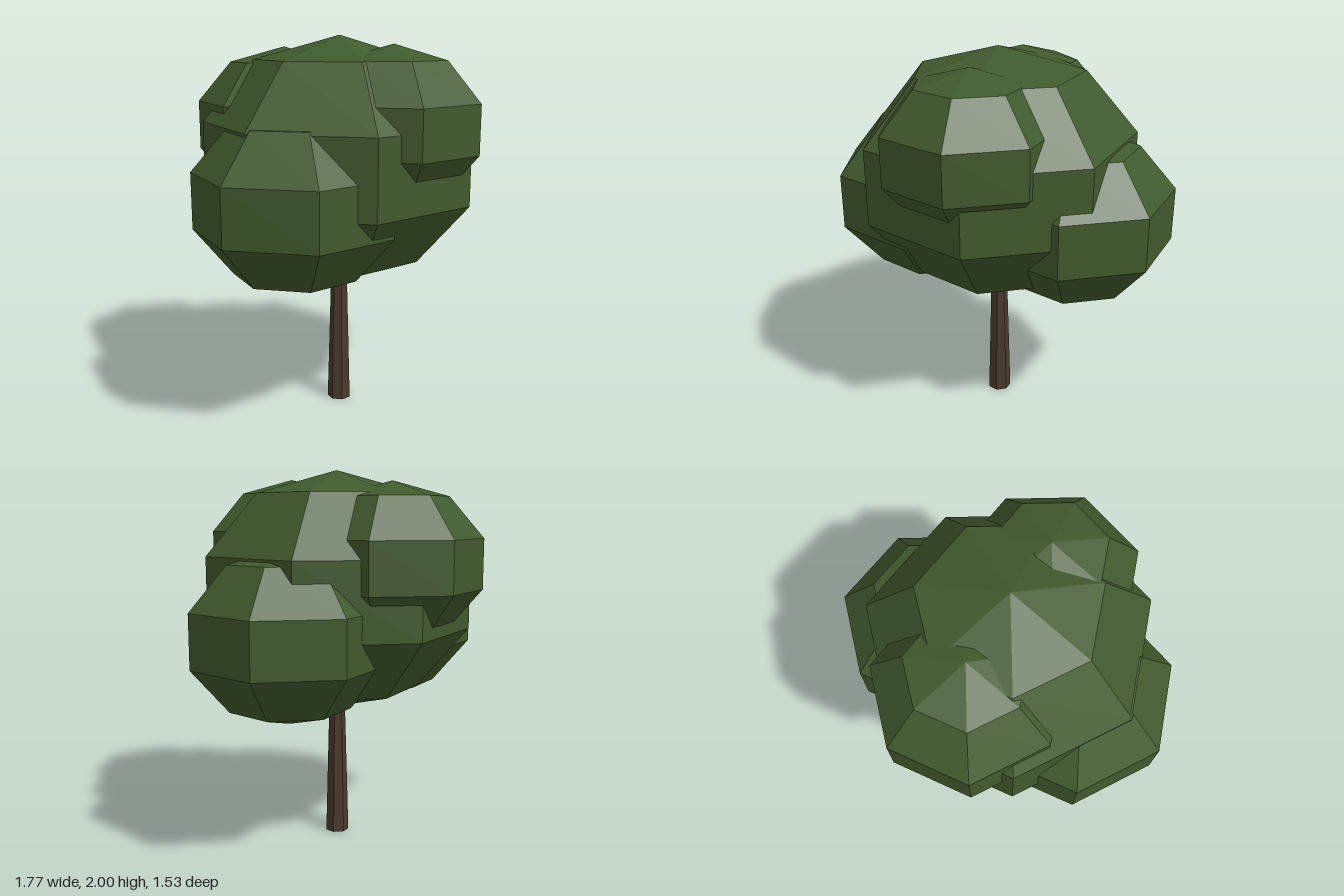
import * as THREE from 'three';

export function createModel() {
  const tree = new THREE.Group();
  tree.name = 'tree';

  const leafGreen = new THREE.MeshStandardMaterial({ color: 0x415a2d, flatShading: true });
  leafGreen.name = 'leafGreen';
  const barkBrown = new THREE.MeshStandardMaterial({ color: 0x4a392d, flatShading: true });
  barkBrown.name = 'barkBrown';

  // Tapered seven-sided trunk, running up into the crown
  const trunkHeight = 0.95;
  const trunk = new THREE.Mesh(new THREE.CylinderGeometry(0.039, 0.065, trunkHeight, 7), barkBrown);
  trunk.name = 'trunk';
  trunk.position.set(-0.012, trunkHeight / 2, 0.039);
  trunk.rotation.y = Math.PI / 7;
  tree.add(trunk);

  // Crown: overlapping low-poly clumps, slightly squashed
  const squash = 0.85;
  const clumps = [
    // name, radius, x, y, z
    ['crownCentre', 0.755, -0.012, 1.36, 0.039],
    ['crownRight', 0.552, -0.375, 1.195, 0.142],
    ['crownLeft', 0.535, 0.386, 1.16, -0.108],
    ['crownFront', 0.476, 0.075, 1.555, 0.354],
    ['crownBack', 0.494, -0.12, 1.52, -0.3],
  ];
  const clumpGeometry = new THREE.SphereGeometry(1, 7, 5);
  for (const [name, radius, x, y, z] of clumps) {
    const clump = new THREE.Mesh(clumpGeometry, leafGreen);
    clump.name = name;
    clump.scale.set(radius, radius * squash, radius);
    clump.position.set(x, y, z);
    clump.rotation.y = Math.PI / 14;
    tree.add(clump);
  }

  return tree;
}
